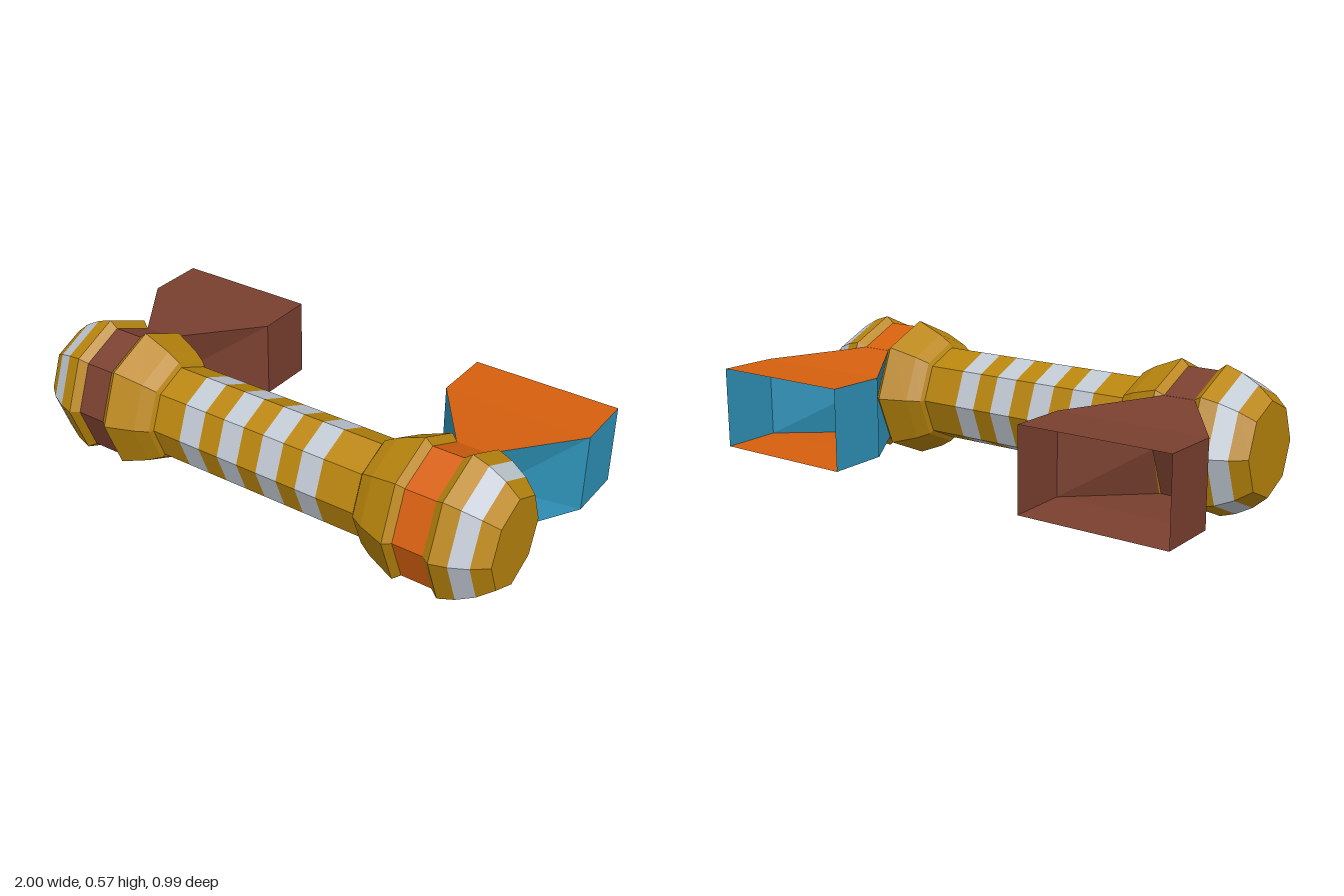
import * as THREE from 'three';

const CY = 0.285, CZ = 0.23, SQUASH = 0.935; // axis of the bar, and its depth ratio

function mat(name, color, flat = true) {
  const m = new THREE.MeshStandardMaterial({ color, flatShading: flat, side: THREE.DoubleSide });
  m.name = name;
  return m;
}

// Mesh from a list of triangles, each given as three [x, y, z] corners
function triMesh(name, tris, material) {
  const g = new THREE.BufferGeometry();
  g.setAttribute('position', new THREE.Float32BufferAttribute(tris.flat(2), 3));
  g.computeVertexNormals();
  const mesh = new THREE.Mesh(g, material);
  mesh.name = name;
  return mesh;
}

export function createModel() {
  const gold = mat('gold', 0xb9850d);
  const silver = mat('silver', 0xc0c8d2);
  const orange = mat('orange', 0xd6600e);
  const brown = mat('brown', 0x7a4030);
  const blue = mat('blue', 0x2e92b8);

  const model = new THREE.Group();
  model.name = 'stripedBarbell';

  // Eight-sided band along x from x0 (radius r0) to x1 (radius r1)
  function band(name, x0, r0, x1, r1, material, parent) {
    const g = new THREE.CylinderGeometry(r1, r0, x1 - x0, 8, 1, true);
    g.rotateZ(-Math.PI / 2);
    g.scale(1, 1, SQUASH);
    g.translate((x0 + x1) / 2, CY, CZ);
    const mesh = new THREE.Mesh(g, material);
    mesh.name = name;
    parent.add(mesh);
  }

  // Striped handle
  const handle = new THREE.Group();
  handle.name = 'handle';
  const cuts = [-0.455, -0.325, -0.233, -0.147, -0.057, 0.03, 0.12, 0.203, 0.292, 0.455];
  for (let i = 0; i < cuts.length - 1; i++) {
    const white = i % 2 === 1;
    band(white ? 'handleStripe' : 'handleSection', cuts[i], 0.19, cuts[i + 1], 0.19,
      white ? silver : gold, handle);
  }
  model.add(handle);

  // Rounded end weights: distance from the middle, radius
  const profile = [
    [0.45, 0.19], [0.46, 0.208], [0.51, 0.238], [0.62, 0.283], [0.648, 0.258],
    [0.768, 0.258], [0.80, 0.283], [0.862, 0.262], [0.927, 0.226], [0.982, 0.178],
  ];

  // Flared rectangular funnel growing out of the back of a weight's groove
  function funnel(cx, topMat, sideMat) {
    const group = new THREE.Group();
    group.name = 'funnel';
    const caps = [], sides = [];
    const quad = (list, a, b, c, d) => list.push([a, b, c], [a, c, d]);
    // Rim, throat and groove corners: half width, bottom, top, z
    const rings = [[0.292, 0.128, 0.444, -0.5], [0.292, 0.131, 0.443, -0.265], [0.06, 0.103, 0.467, 0.062]];
    const corner = (i, sx, top) => [cx + sx * rings[i][0], rings[i][top ? 2 : 1], rings[i][3]];
    for (let i = 0; i < 2; i++) {
      quad(caps, corner(i, -1, 1), corner(i + 1, -1, 1), corner(i + 1, 1, 1), corner(i, 1, 1));
      quad(caps, corner(i, -1, 0), corner(i, 1, 0), corner(i + 1, 1, 0), corner(i + 1, -1, 0));
    }
    for (const s of [-1, 1]) {
      const out = [];
      quad(out, corner(0, s, 0), corner(0, s, 1), corner(1, s, 1), corner(1, s, 0));
      const mid = [cx + s * 0.06, CY, CZ - 0.258 * SQUASH];
      out.push([corner(1, s, 1), corner(2, s, 1), mid]);
      out.push([corner(1, s, 0), corner(1, s, 1), mid]);
      out.push([corner(2, s, 0), corner(1, s, 0), mid]);
      // reverse the corners on the -x side so that faces look outward
      for (const t of out) sides.push(s > 0 ? t : [t[0], t[2], t[1]]);
    }
    group.add(triMesh('funnelTopAndBottom', caps, topMat));
    group.add(triMesh('funnelSides', sides, sideMat));
    return group;
  }

  for (const s of [-1, 1]) {
    const side = s > 0 ? 'left' : 'right';
    const accent = s > 0 ? orange : brown;
    const weight = new THREE.Group();
    weight.name = side + 'Weight';
    for (let i = 0; i < profile.length - 1; i++) {
      const [a, ra] = profile[i], [b, rb] = profile[i + 1];
      const m = i === 4 ? accent : i === 7 ? silver : gold;
      const name = i === 4 ? 'groove' : i === 7 ? 'weightStripe' : 'weightSection';
      if (s > 0) band(name, a, ra, b, rb, m, weight);
      else band(name, -b, rb, -a, ra, m, weight);
    }
    // Flat end cap
    const [ex, er] = profile[profile.length - 1];
    const g = new THREE.CircleGeometry(er, 8);
    g.rotateY(s * Math.PI / 2);
    g.scale(1, 1, SQUASH);
    g.translate(s * ex, CY, CZ);
    const cap = new THREE.Mesh(g, gold);
    cap.name = 'endCap';
    weight.add(cap);
    weight.add(funnel(s * 0.708, accent, s > 0 ? blue : brown));
    model.add(weight);
  }
  return model;
}
